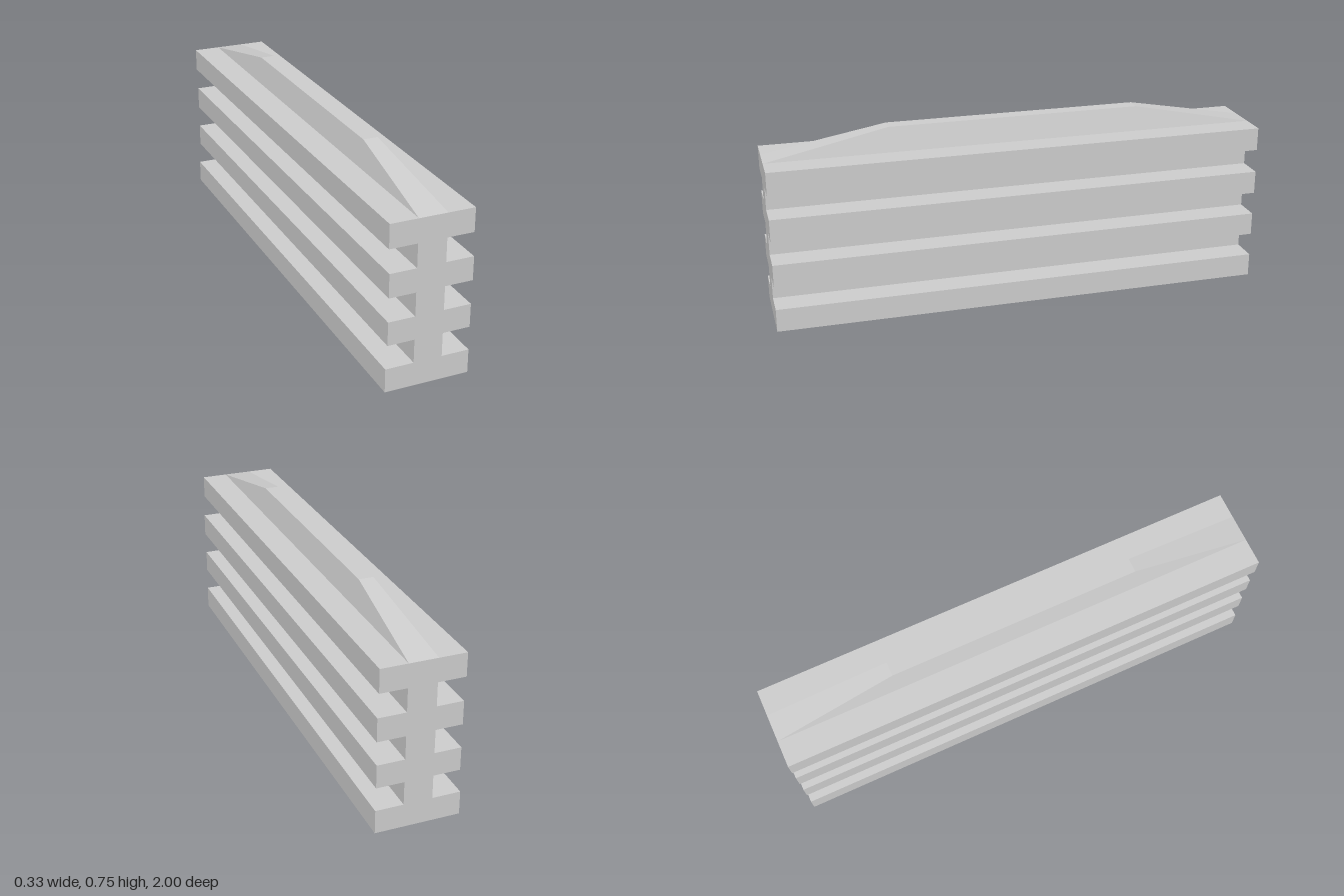
import * as THREE from 'three';

const LENGTH = 2;
const WEB = 0.056; // half width of the central web

// Horizontal fins, bottom to top: [y low, y high, x min, x max]
const FINS = [
  [0, 0.094, -0.167, 0.165],
  [0.188, 0.281, -0.161, 0.164],
  [0.375, 0.469, -0.161, 0.166],
  [0.563, 0.657, -0.165, 0.162],
];

// Finned section, extruded along z
function finnedBody() {
  const right = [];
  const left = [];
  FINS.forEach(([y0, y1, x0, x1], i) => {
    if (i > 0) {
      right.push([WEB, y0]);
      left.push([-WEB, y0]);
    }
    right.push([x1, y0], [x1, y1]);
    left.push([x0, y0], [x0, y1]);
    if (i < FINS.length - 1) {
      right.push([WEB, y1]);
      left.push([-WEB, y1]);
    }
  });
  const outline = [...right, ...left.reverse()].map(([x, y]) => new THREE.Vector2(x, y));
  const geometry = new THREE.ExtrudeGeometry(new THREE.Shape(outline), { depth: LENGTH, bevelEnabled: false });
  return geometry.translate(0, 0, -LENGTH / 2);
}

// Ridge on top: a box whose upper face is drawn in, giving long sloped ends
function taperedRidge() {
  const bottom = 0.657;
  const height = 0.096;
  const geometry = new THREE.BoxGeometry(WEB * 2, height, LENGTH).toNonIndexed();
  geometry.translate(0, bottom + height / 2, 0);
  const p = geometry.attributes.position;
  for (let i = 0; i < p.count; i++) {
    if (p.getY(i) > bottom + height / 2) {
      p.setX(i, Math.sign(p.getX(i)) * 0.029);
      p.setZ(i, Math.sign(p.getZ(i)) * 0.51);
    }
  }
  geometry.computeVertexNormals();
  return geometry;
}

export function createModel() {
  const group = new THREE.Group();
  group.name = 'finnedBar';
  const material = new THREE.MeshStandardMaterial({ color: 0xcccccc, flatShading: true });
  const add = (name, geometry) => {
    const mesh = new THREE.Mesh(geometry, material);
    mesh.name = name;
    group.add(mesh);
  };
  add('finnedBody', finnedBody());
  add('topRidge', taperedRidge());
  return group;
}
